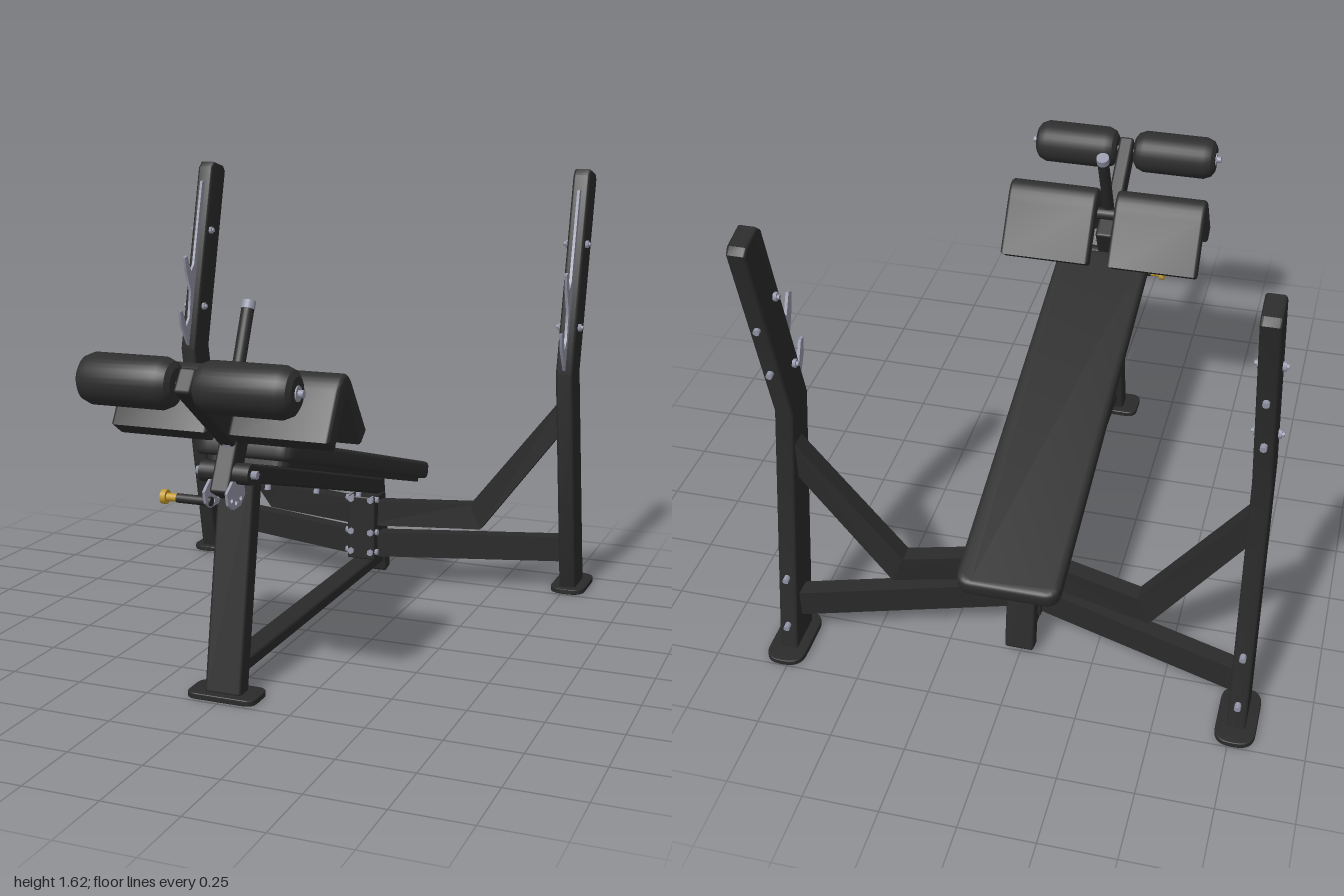
import * as THREE from 'three';
import { toCreasedNormals } from 'three/addons/utils/BufferGeometryUtils.js';
import { RoundedBoxGeometry } from 'three/addons/geometries/RoundedBoxGeometry.js';

const material = (name, color) => {
  const m = new THREE.MeshStandardMaterial({ color });
  m.name = name;
  return m;
};

export function createModel() {
  const root = new THREE.Group();
  const frame = material('black frame', 0x2a2a2a);
  const vinyl = material('black vinyl', 0x2e2e2e);
  const steel = material('steel', 0x9496a8);
  const brass = material('yellow knob', 0xc49a2a);

  const add = (name, geometry, mat, parent = root) => {
    const mesh = new THREE.Mesh(geometry, mat);
    mesh.name = name;
    parent.add(mesh);
    return mesh;
  };
  const V = (x, y, z) => new THREE.Vector3(x, y, z);
  const shapeOf = (pts) => new THREE.Shape(pts.map(([a, b]) => new THREE.Vector2(a, b)));

  // Extrusion of total thickness `depth`, centred, with optional rounded edges
  const extrude = (shape, depth, bevel = 0) => {
    const g = new THREE.ExtrudeGeometry(shape, {
      depth: depth - 2 * bevel, bevelEnabled: bevel > 0, bevelSize: bevel, bevelThickness: bevel,
      bevelOffset: -bevel, bevelSegments: 3, curveSegments: 10,
    });
    g.translate(0, 0, bevel - depth / 2);
    return g;
  };
  // Side profile given as (z, y), extruded along x
  const sideExtrude = (shape, width, bevel) =>
    toCreasedNormals(extrude(shape, width, bevel).rotateY(-Math.PI / 2), 0.6);
  // Flat rounded slab lying in the xz plane
  const slab = (w, l, r, t, bevel) => {
    const x = w / 2, y = l / 2, s = new THREE.Shape();
    s.moveTo(-x + r, -y).lineTo(x - r, -y).quadraticCurveTo(x, -y, x, -y + r)
      .lineTo(x, y - r).quadraticCurveTo(x, y, x - r, y)
      .lineTo(-x + r, y).quadraticCurveTo(-x, y, -x, y - r)
      .lineTo(-x, -y + r).quadraticCurveTo(-x, -y, -x + r, -y);
    return toCreasedNormals(extrude(s, t, bevel).rotateX(-Math.PI / 2), 0.6);
  };
  // Rectangular tube between two points
  const bar = (name, a, b, w, h, mat = frame, r = 0.01) => {
    const m = add(name, new RoundedBoxGeometry(w, h, a.distanceTo(b), 2, r), mat);
    m.position.copy(a).lerp(b, 0.5);
    m.lookAt(b);
    return m;
  };
  // Round rod between two points
  const rod = (name, a, b, r, mat, sides = 20) => {
    const m = add(name, new THREE.CylinderGeometry(r, r, a.distanceTo(b), sides), mat);
    m.position.copy(a).lerp(b, 0.5);
    m.quaternion.setFromUnitVectors(V(0, 1, 0), b.clone().sub(a).normalize());
    return m;
  };

  // Uprights, feet, bar catches and their bolts
  const uprightShape = shapeOf([[-0.79, 0.015], [-0.613, 0.885], [-0.795, 1.60], [-0.82, 1.622],
    [-0.905, 1.602], [-0.922, 1.58], [-0.747, 0.885], [-0.935, 0.015]]);
  const catchShape = shapeOf([[-0.757, 1.547], [-0.672, 1.22], [-0.645, 1.195], [-0.613, 1.26],
    [-0.592, 1.253], [-0.603, 1.20], [-0.64, 1.115], [-0.624, 1.01], [-0.597, 0.98],
    [-0.565, 1.045], [-0.543, 1.045], [-0.554, 0.99], [-0.613, 0.90], [-0.66, 0.90], [-0.81, 1.547]]);
  for (const s of [-1, 1]) {
    const x = 0.767 * s;
    add('upright', sideExtrude(uprightShape, 0.062, 0.009), frame).position.x = x;
    add('barCatch', sideExtrude(catchShape, 0.01, 0), steel).position.x = x;
    add('rearFoot', slab(0.132, 0.243, 0.06, 0.02, 0.004), frame).position.set(x, 0.01, -0.878);
    for (const [z, y] of [[-0.769, 1.35], [-0.694, 1.05]]) {
      rod('catchBolt', V(x - 0.05, y, z), V(x + 0.05, y, z), 0.008, steel, 10);
      rod('catchBoltHead', V(x - 0.042, y, z), V(x + 0.042, y, z), 0.015, steel, 6);
    }
    for (const [z, y] of [[-0.835, 1.275], [-0.79, 1.08], [-0.87, 0.29], [-0.91, 0.11]])
      rod('rearBolt', V(x, y, z + 0.02), V(x, y - 0.005, z - 0.025), 0.011, steel, 8);

    // Cross members: front outline, then swept back by a rule in x
    const sweep = (pts, rule) => {
      const g = extrude(shapeOf(pts.map(([a, b]) => [a * s, b])), 0.06);
      const p = g.attributes.position;
      for (let i = 0; i < p.count; i++) p.setZ(i, p.getZ(i) + rule(Math.abs(p.getX(i))));
      g.computeVertexNormals();
      return g;
    };
    add('lowerCrossMember', sweep([[0, 0.115], [0.76, 0.115], [0.76, 0.212], [0, 0.212]],
      (d) => -0.615 - 0.3 * d), frame);
    add('upperBrace', sweep([[0, 0.24], [0.44, 0.24], [0.76, 0.667], [0.76, 0.80], [0.40, 0.337], [0, 0.337]],
      (d) => -0.615 - 0.27 * Math.min(d, 0.42)), frame);
  }

  // Front leg, base rail and rear centre post
  bar('frontLeg', V(0, 0.01, 0.677), V(0, 0.715, 0.555), 0.125, 0.07);
  add('frontFoot', slab(0.24, 0.13, 0.04, 0.02, 0.004), frame).position.set(0, 0.01, 0.675);
  bar('baseRail', V(0, 0.083, 0.66), V(0, 0.083, -0.74), 0.08, 0.045);
  bar('centrePost', V(0, 0.025, -0.745), V(0, 0.42, -0.665), 0.1, 0.055);
  bar('postBracket', V(0, 0.235, -0.56), V(0, 0.235, -0.68), 0.11, 0.25, frame, 0.006);
  for (const y of [0.14, 0.22, 0.35])
    for (const s of [-1, 1]) {
      rod('bracketBolt', V(s * 0.04, y, -0.55), V(s * 0.04, y, -0.58), 0.013, steel, 6);
      rod('bracketSideBolt', V(s * 0.05, y, -0.575), V(s * 0.066, y, -0.575), 0.012, steel, 6);
    }

  // Sloping bench
  const bench = new THREE.Group();
  bench.name = 'bench';
  bench.position.set(0, 0.632, -0.185);
  bench.rotation.x = -0.264;
  root.add(bench);
  add('seatPad', slab(0.345, 1.51, 0.055, 0.068, 0.018), vinyl, bench).position.y = -0.034;
  add('padBoard', slab(0.29, 1.44, 0.05, 0.016, 0), frame, bench).position.y = -0.076;
  add('benchBeam', new RoundedBoxGeometry(0.1, 0.062, 1.34, 2, 0.01), frame, bench).position.set(0, -0.115, 0.13);
  for (const z of [0.72, 0.5, 0.05, -0.4]) {
    const b = add('benchBolt', new THREE.CylinderGeometry(0.011, 0.011, 0.03, 8), steel, bench);
    b.position.set(0, -0.15, z);
  }

  // Bent thigh pads
  const thigh = new THREE.Shape();
  thigh.moveTo(0.73, 0.875).lineTo(0.645, 1.02).quadraticCurveTo(0.58, 1.11, 0.515, 1.01)
    .lineTo(0.395, 0.85).lineTo(0.445, 0.812).lineTo(0.555, 0.955)
    .quadraticCurveTo(0.58, 0.99, 0.605, 0.955).lineTo(0.672, 0.838);
  for (const s of [-1, 1]) {
    add('thighPad', sideExtrude(thigh, 0.335, 0.012), vinyl).position.x = s * 0.203;

    // Ankle rollers
    const profile = [[0, 0], [0.05, 0], [0.068, 0.012], [0.08, 0.04], [0.08, 0.275], [0.068, 0.303], [0.05, 0.315], [0, 0.315]];
    const roller = add('ankleRoller', toCreasedNormals(new THREE.LatheGeometry(
      profile.map(([r, h]) => new THREE.Vector2(r, h)), 32), 0.5), vinyl);
    roller.rotation.z = -s * Math.PI / 2;
    roller.position.set(s * 0.035, 1.06, 0.92);
    rod('rollerCap', V(s * 0.345, 1.06, 0.92), V(s * 0.354, 1.06, 0.92), 0.024, steel);
  }
  rod('rollerAxle', V(-0.37, 1.06, 0.92), V(0.37, 1.06, 0.92), 0.012, steel);
  bar('rollerArm', V(0, 1.08, 0.945), V(0, 0.84, 0.61), 0.055, 0.085);
  rod('thighPadTube', V(-0.3, 0.965, 0.58), V(0.3, 0.965, 0.58), 0.022, frame);

  // Adjusting column, pivot and handle
  bar('adjustColumn', V(0, 0.93, 0.55), V(0, 0.665, 0.685), 0.065, 0.09);
  rod('pivotTube', V(-0.085, 0.735, 0.655), V(0.085, 0.735, 0.655), 0.034, frame);
  rod('pivotBolt', V(-0.105, 0.735, 0.655), V(0.105, 0.735, 0.655), 0.014, steel, 6);
  rod('columnBolt', V(-0.045, 0.85, 0.59), V(0.045, 0.85, 0.59), 0.014, steel, 6);
  rod('frontBolt', V(0, 0.85, 0.62), V(0, 0.83, 0.665), 0.016, steel, 8);
  rod('handle', V(0, 0.87, 0.645), V(0, 1.235, 0.488), 0.021, frame);
  rod('handleCap', V(0, 1.23, 0.49), V(0, 1.255, 0.479), 0.023, steel);

  // Locking cam with holes and pull pin
  const cam = shapeOf([[0.62, 0.70], [0.61, 0.66], [0.645, 0.63], [0.70, 0.628], [0.735, 0.65], [0.745, 0.69], [0.70, 0.72]]);
  for (const [z, y] of [[0.645, 0.655], [0.68, 0.648], [0.712, 0.662]]) {
    const hole = new THREE.Path();
    hole.absarc(z, y, 0.009, 0, Math.PI * 2, true);
    cam.holes.push(hole);
  }
  for (const x of [-0.04, 0.037]) add('lockingCam', sideExtrude(cam, 0.009, 0), steel).position.x = x;
  rod('pullPinSleeve', V(-0.15, 0.65, 0.705), V(-0.03, 0.65, 0.705), 0.015, frame);
  rod('pullPinStem', V(-0.19, 0.65, 0.705), V(-0.14, 0.65, 0.705), 0.013, brass);
  rod('pullPinKnob', V(-0.203, 0.65, 0.705), V(-0.185, 0.65, 0.705), 0.023, brass);

  return root;
}
